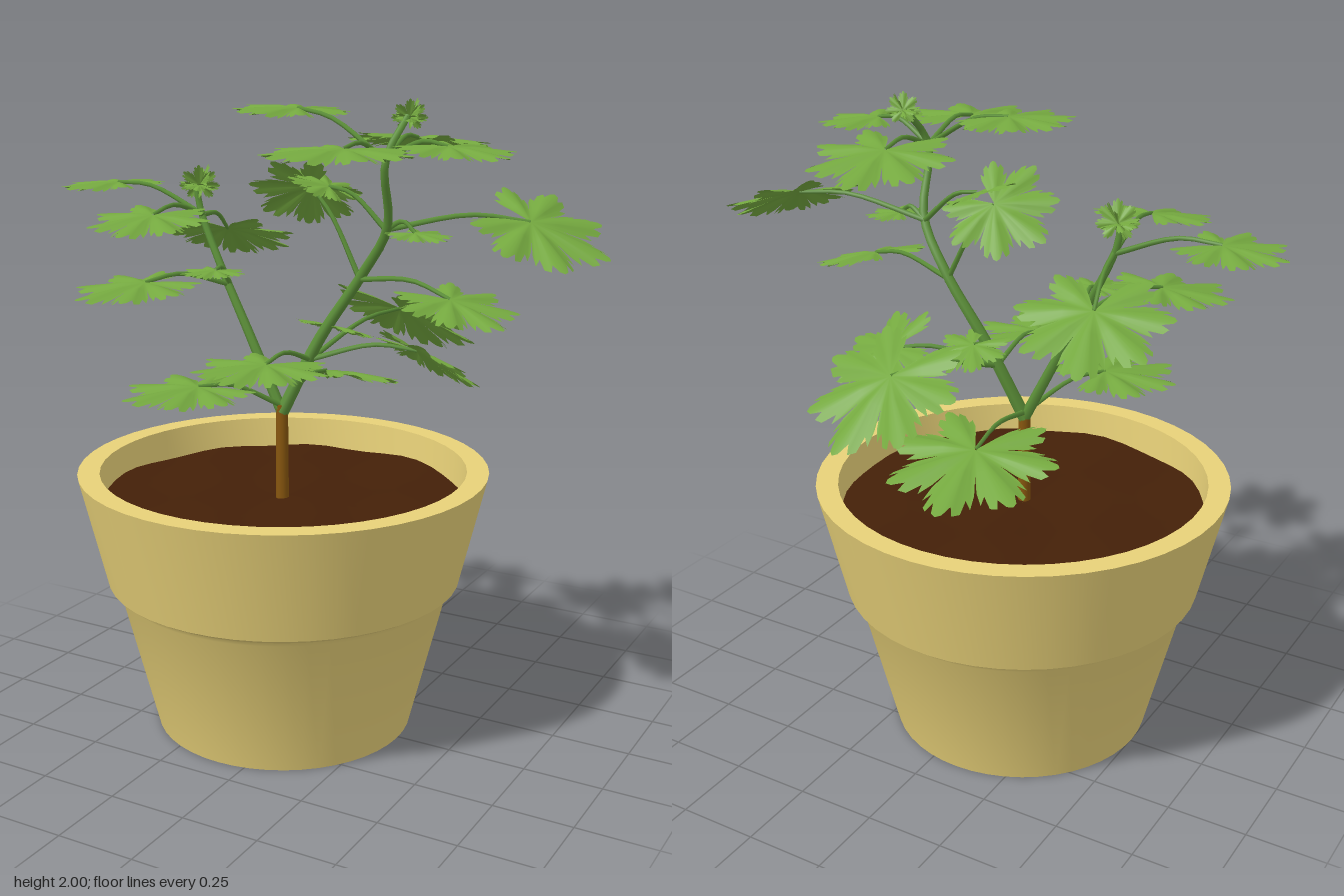
import * as THREE from 'three';
import { toCreasedNormals } from 'three/addons/utils/BufferGeometryUtils.js';

const V = (x, y, z) => new THREE.Vector3(x, y, z);

function material(name, color, side = THREE.FrontSide) {
  const m = new THREE.MeshStandardMaterial({ color, side });
  m.name = name;
  return m;
}

// Tube along a smooth path, narrowing from r0 to r1
function taperedTube(points, r0, r1, segments = 14, sides = 7) {
  const curve = new THREE.CatmullRomCurve3(points);
  const g = new THREE.TubeGeometry(curve, segments, 1, sides);
  const pos = g.attributes.position, v = V(0, 0, 0);
  for (let i = 0; i < pos.count; i++) {
    const t = g.attributes.uv.getX(i), c = curve.getPointAt(Math.min(t, 1));
    v.fromBufferAttribute(pos, i).sub(c).multiplyScalar(r0 + (r1 - r0) * t).add(c);
    pos.setXYZ(i, v.x, v.y, v.z);
  }
  return g;
}

// Palmate leaf with seven toothed lobes: stalk at the origin, tip along +z
function leafGeometry() {
  const half = [[-21, 0.42], [-20, 0.66], [-17.5, 0.84], [-14, 0.74], [-12, 0.93], [-8, 0.99], [-6, 0.88], [-3, 1.02]];
  const lobe = [...half, [0, 1.06], ...half.slice(1).reverse().map(([a, r]) => [-a, r])];
  const outline = [];
  for (let k = -3; k <= 3; k++) {
    const size = [1, 0.95, 0.89, 0.77][Math.abs(k)];
    for (const [a, r] of lobe) outline.push([THREE.MathUtils.degToRad(k * 45 + a * 1.07), r * size]);
  }
  outline.push([THREE.MathUtils.degToRad(157), 0.33]);
  const pos = [0, 0, 0], index = [];
  outline.forEach(([a, r], i) => {
    // Lobes are ridged along their veins and droop at the edge
    const fold = 0.06 * Math.cos(a * 8);
    for (const q of [Math.min(r, 0.36), r]) {
      pos.push(Math.sin(a) * q, fold * q - 0.11 * q * q, Math.cos(a) * q);
    }
    if (i) {
      const p = 2 * i - 1, n = 2 * i + 1;
      index.push(0, p, n, p, p + 1, n + 1, p, n + 1, n);
    }
  });
  const g = new THREE.BufferGeometry();
  g.setAttribute('position', new THREE.Float32BufferAttribute(pos, 3));
  g.setIndex(index);
  g.computeVertexNormals();
  return g;
}

export function createModel() {
  const model = new THREE.Group();
  model.name = 'pottedPlant';
  const clay = material('ochreClay', 0xe9d279);
  const earth = material('darkSoil', 0x442008);
  const bark = material('brownBark', 0x87560e);
  const stalk = material('stalkGreen', 0x5c9038);
  const foliage = material('leafGreen', 0x74a83f, THREE.DoubleSide);

  const add = (name, geometry, mat, parent = model) => {
    const mesh = new THREE.Mesh(geometry, mat);
    mesh.name = name;
    parent.add(mesh);
    return mesh;
  };

  // Pot with a thick stepped collar
  const profile = [[0, 0], [0.412, 0], [0.527, 0.46], [0.537, 0.475], [0.562, 0.49], [0.647, 0.845],
    [0.578, 0.845], [0.566, 0.7], [0, 0.7]].map(([r, y]) => new THREE.Vector2(r, y));
  const pot = add('pot', toCreasedNormals(new THREE.LatheGeometry(profile, 48), 0.4), clay);
  pot.position.set(-0.09, 0, 0.01);

  // Slightly uneven soil
  const soilGeo = new THREE.RingGeometry(0.001, 0.572, 48, 8);
  soilGeo.rotateX(-Math.PI / 2);
  const sp = soilGeo.attributes.position;
  for (let i = 0; i < sp.count; i++) {
    const x = sp.getX(i), z = sp.getZ(i);
    sp.setY(i, 0.008 * Math.sin(x * 13 + 2 * z) * Math.cos(z * 11 - x * 4));
  }
  soilGeo.computeVertexNormals();
  add('soil', soilGeo, earth).position.set(-0.09, 0.75, 0.01);

  // Woody stem and the two green branches
  add('stem', new THREE.CylinderGeometry(0.019, 0.021, 0.34, 10), bark).position.set(-0.08, 0.885, 0.035);
  const rightPath = [V(-0.08, 1.03, 0.035), V(0.03, 1.27, -0.01), V(0.17, 1.48, -0.02), V(0.27, 1.63, 0.02),
    V(0.3, 1.83, 0.1), V(0.33, 1.95, 0.02)];
  const leftPath = [V(-0.08, 1.03, 0.035), V(-0.2, 1.26, 0.025), V(-0.31, 1.46, 0.01), V(-0.4, 1.64, -0.01), V(-0.41, 1.71, -0.01)];
  add('tallBranch', taperedTube(rightPath, 0.021, 0.01, 24), stalk);
  add('shortBranch', taperedTube(leftPath, 0.018, 0.01, 20), stalk);

  // Leaves: stalk origin, centre, size, downward slope, optional sideways roll
  const leafGeo = leafGeometry();
  const base = [-0.08, 1.05, 0.035], crown = [0.3, 1.83, 0.1], mid = [0.26, 1.62, 0.01];
  const bend = [0.16, 1.46, -0.02], low = [0.0, 1.2, 0], leftTop = [-0.39, 1.62, -0.01], leftMid = [-0.28, 1.41, 0.01];
  const leaves = [
    [leftTop, [-0.78, 1.69, -0.03], 0.185, 0.02],
    [leftTop, [-0.48, 1.5, -0.33], 0.24, 0.42],
    [leftTop, [-0.35, 1.64, 0.37], 0.2, 0.13],
    [leftMid, [-0.45, 1.43, 0.33], 0.22, 0.08],
    [leftMid, [-0.27, 1.46, 0.14], 0.11, 0],
    [base, [-0.28, 1.13, 0.32], 0.23, 0.02],
    [base, [-0.14, 1.05, -0.42], 0.275, 0.24],
    [low, [0.11, 1.24, -0.5], 0.27, 0.58],
    [low, [-0.01, 1.225, 0.32], 0.225, 0],
    [low, [0.36, 1.2, -0.14], 0.21, 0.45, -0.35],
    [low, [0.04, 1.27, -0.13], 0.14, 0.3],
    [bend, [-0.07, 1.69, -0.05], 0.19, 0.4, 0.6],
    [bend, [0.57, 1.43, 0.13], 0.2, 0.22],
    [mid, [0.75, 1.63, -0.06], 0.235, 0.35, 0.3],
    [mid, [0.4, 1.61, 0.05], 0.11, 0.05],
    [mid, [0.03, 1.74, 0.0], 0.13, -0.4],
    [crown, [0.26, 1.85, -0.25], 0.24, 0.18],
    [crown, [0.28, 1.87, 0.4], 0.235, 0],
    [crown, [0.57, 1.87, 0.16], 0.19, 0.05],
    [crown, [-0.08, 1.955, 0.02], 0.195, -0.06],
  ];
  for (const [from, centre, size, slope, roll = 0] of leaves) {
    const start = V(...from), c = V(...centre);
    const yaw = Math.atan2(c.x - start.x, c.z - start.z);
    const group = new THREE.Group();
    group.name = 'leafWithStalk';
    const blade = add('leafBlade', leafGeo, foliage, group);
    blade.rotation.set(slope, yaw, roll, 'YXZ');
    blade.scale.setScalar(size);
    const forward = V(0, 0, 1).applyEuler(blade.rotation);
    const joint = c.clone().addScaledVector(forward, -0.3 * size);
    joint.y += 0.01;
    blade.position.copy(joint);
    const arch = start.clone().lerp(joint, 0.6);
    arch.y += 0.03;
    add('leafStalk', taperedTube([start, arch, joint], 0.009, 0.006, 8, 5), stalk, group);
    model.add(group);
  }

  // Young leaves folded upright at the branch tips
  const sprout = (x, y, z, size) => {
    const group = new THREE.Group();
    group.name = 'sprout';
    for (let i = 0; i < 4; i++) {
      const leaf = add('youngLeaf', leafGeo, foliage, group);
      leaf.rotation.set(i < 2 ? -1.2 : -0.3, i * 1.9 + 0.5, 0, 'YXZ');
      leaf.scale.setScalar(size * (i < 2 ? 0.85 : 0.8));
    }
    group.position.set(x, y, z);
    model.add(group);
  };
  sprout(0.33, 1.945, 0.01, 0.066);
  sprout(-0.4, 1.71, -0.01, 0.08);
  return model;
}
